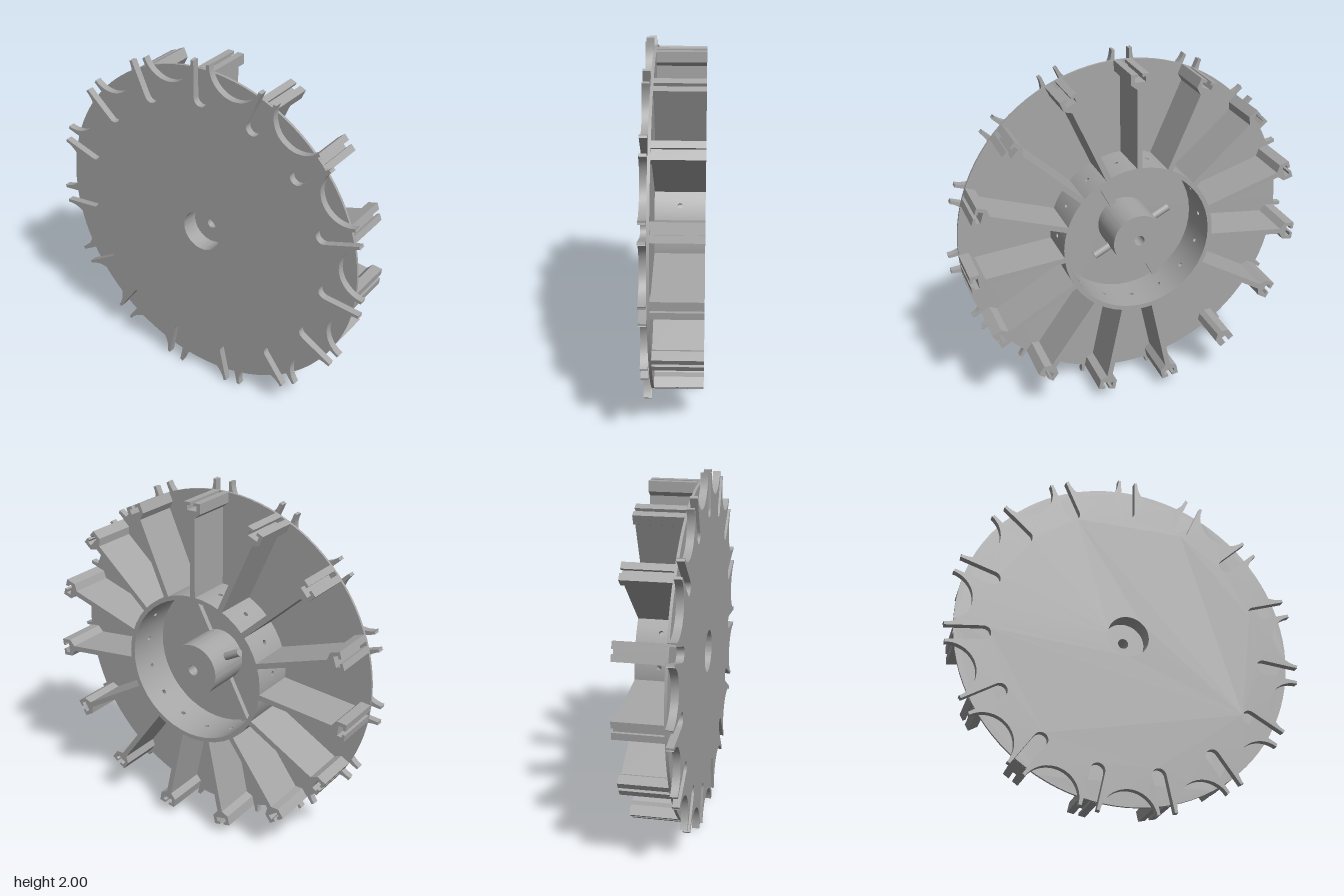
import * as THREE from 'three';
import { toCreasedNormals } from 'three/addons/utils/BufferGeometryUtils.js';

const COUNT = 15, STEP = (Math.PI * 2) / COUNT, TOP = Math.PI / 2;
const DISC_R = 0.948, RING_IN = 0.405, RING_OUT = 0.43;
const BACK = -0.16, DISC_BACK = 0.105, DISC_FRONT = 0.12, FRONT = 0.16;

// Point given by radial distance u and tangential offset t about a direction
const polar = (phi, u, t) => new THREE.Vector2(
  u * Math.cos(phi) - t * Math.sin(phi),
  u * Math.sin(phi) + t * Math.cos(phi));

function circlePath(r, x = 0, y = 0) {
  return new THREE.Path().absarc(x, y, r, 0, Math.PI * 2, true);
}

function extrude(shape, z0, z1, curveSegments = 48) {
  const geo = new THREE.ExtrudeGeometry(shape, { depth: z1 - z0, bevelEnabled: false, curveSegments });
  geo.translate(0, 0, z0);
  return toCreasedNormals(geo, 0.5);
}

function roundPlate(rOut, rIn, z0, z1) {
  const shape = new THREE.Shape().absarc(0, 0, rOut, 0, Math.PI * 2, false);
  shape.holes.push(circlePath(rIn));
  return extrude(shape, z0, z1);
}

// Indexing plate: round-ended slots between thin prongs, joined by concave arcs
function slottedPlate() {
  const pts = [];
  for (let i = 0; i < COUNT; i++) {
    const phi = TOP + i * STEP, mid = phi + STEP / 2;
    pts.push(polar(phi, 1, -0.053), polar(phi, 1, -0.04));
    for (let k = 0; k <= 12; k++) {
      const a = (k / 12) * Math.PI;
      pts.push(polar(phi, 0.795 - 0.04 * Math.sin(a), -0.04 * Math.cos(a)));
    }
    pts.push(polar(phi, 1, 0.04), polar(phi, 1, 0.053));
    for (let k = 0; k <= 20; k++) {
      const b = THREE.MathUtils.degToRad(-80 + 8 * k);
      pts.push(polar(mid, 1.02 - 0.155 * Math.cos(b), 0.155 * Math.sin(b)));
    }
  }
  const shape = new THREE.Shape(pts);
  shape.holes.push(circlePath(0.117));
  return extrude(shape, DISC_FRONT, FRONT);
}

// Thin vane that flares into a grooved block at the rim
function vane() {
  const half = [[0.418, 0.015], [0.865, 0.015], [0.892, 0.05], [0.948, 0.05],
    [0.948, 0.012], [0.932, 0.012], [0.932, 0.03], [0.905, 0.03]];
  const pts = [
    ...half.map(([u, t]) => new THREE.Vector2(u, -t)),
    ...half.slice().reverse().map(([u, t]) => new THREE.Vector2(u, t))];
  return extrude(new THREE.Shape(pts), BACK, DISC_BACK);
}

// Flat wall panel bent round the axis, with an optional screw hole
function ringPanel(width, hole) {
  const w = (width / 2) * RING_OUT;
  const shape = new THREE.Shape([
    new THREE.Vector2(-w, BACK), new THREE.Vector2(w, BACK),
    new THREE.Vector2(w, DISC_BACK), new THREE.Vector2(-w, DISC_BACK)]);
  if (hole) shape.holes.push(circlePath(0.013, 0, -0.028));
  const geo = new THREE.ExtrudeGeometry(shape, {
    depth: RING_OUT - RING_IN, bevelEnabled: false, curveSegments: 10 });
  const p = geo.attributes.position, n = geo.attributes.normal;
  for (let i = 0; i < p.count; i++) {
    const a = p.getX(i) / RING_OUT, r = RING_IN + p.getZ(i), c = Math.cos(a), s = Math.sin(a);
    const nx = n.getX(i), ny = n.getY(i), nz = n.getZ(i);
    p.setXYZ(i, r * c, r * s, p.getY(i));
    n.setXYZ(i, nz * c - nx * s, nz * s + nx * c, ny);
  }
  return geo;
}

export function createModel() {
  const model = new THREE.Group();
  model.name = 'indexingWheel';
  const wheel = new THREE.Group();
  wheel.name = 'wheel';
  wheel.position.y = 0.988;
  model.add(wheel);

  const grey = new THREE.MeshStandardMaterial({ color: 0xa6a6a6 });
  grey.name = 'grey';
  const add = (name, geo, angle = 0) => {
    const mesh = new THREE.Mesh(geo, grey);
    mesh.name = name;
    mesh.rotation.z = angle;
    wheel.add(mesh);
    return mesh;
  };

  // Front plate and backing disc
  add('slottedPlate', slottedPlate());
  add('backingDisc', roundPlate(DISC_R, 0.117, DISC_BACK, DISC_FRONT));

  // Hub with a front recess and a bore
  add('hubRecessWall', roundPlate(0.148, 0.117, 0.06, DISC_BACK));
  add('hub', roundPlate(0.148, 0.029, BACK, 0.06));

  // Vanes and the ring wall with a hole between each pair of vanes
  const vaneGeo = vane();
  const plain = ringPanel(STEP / 3, false), holed = ringPanel(STEP / 3, true);
  for (let i = 0; i < COUNT; i++) {
    const phi = TOP + i * STEP;
    add('vane', vaneGeo, phi);
    for (let k = 0; k < 3; k++) {
      add('ringWall', k === 1 ? holed : plain, phi + STEP / 2 + (k - 1) * STEP / 3);
    }
  }

  // Cross pins in the hub and a low rib on the disc at right angles to them
  const pinAngle = THREE.MathUtils.degToRad(152);
  for (const side of [0, Math.PI]) {
    const pin = new THREE.CylinderGeometry(0.022, 0.022, 0.11, 16);
    pin.rotateZ(-Math.PI / 2).translate(0.19, 0, -0.028);
    add('crossPin', pin, pinAngle + side);
    const rib = new THREE.BoxGeometry(0.27, 0.04, 0.03);
    rib.translate(0.275, 0, DISC_BACK - 0.015);
    add('rib', rib, pinAngle + Math.PI / 2 + side);
  }
  return model;
}
